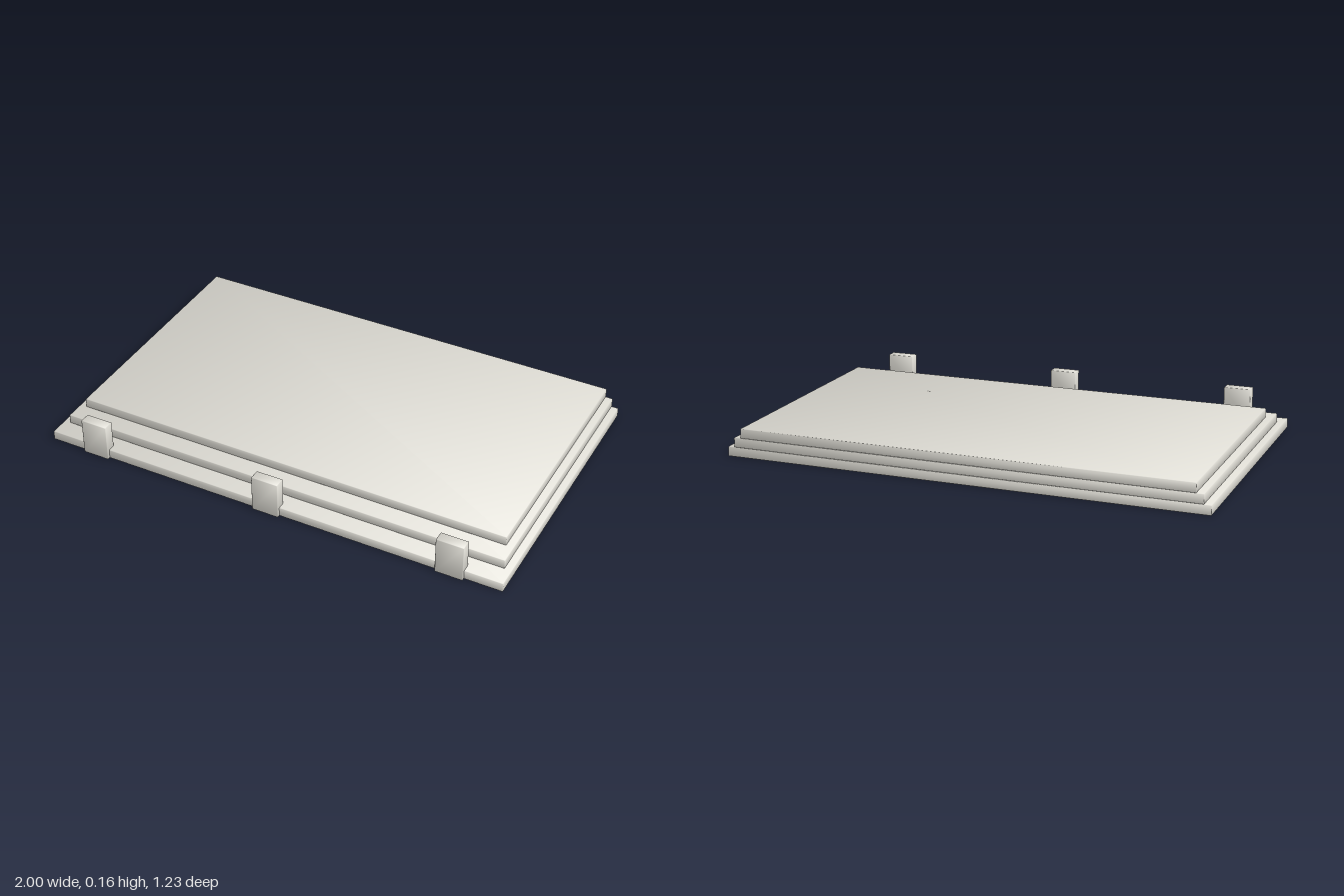
import * as THREE from 'three';
import { ConvexGeometry } from 'three/addons/geometries/ConvexGeometry.js';

// Box with fine chamfered edges and softly shaded faces
function chamferedBox(width, height, depth, bevel = 0.002) {
  const half = [width / 2, height / 2, depth / 2];
  const points = [];
  for (const sx of [-1, 1]) for (const sy of [-1, 1]) for (const sz of [-1, 1])
    for (let face = 0; face < 3; face++) {
      const c = [sx, sy, sz].map((s, i) => s * (half[i] - (i === face ? 0 : bevel)));
      points.push(new THREE.Vector3(...c));
    }
  const geometry = new ConvexGeometry(points);
  // Each corner normal leans from its face towards the neighbouring chamfers
  const { position, normal } = geometry.attributes;
  const p = new THREE.Vector3(), n = new THREE.Vector3();
  for (let i = 0; i < position.count; i++) {
    p.fromBufferAttribute(position, i);
    const lean = p.toArray().map((v, a) =>
      Math.sign(v) * (half[a] - Math.abs(v) < bevel / 2 ? 1 : 0.39));
    n.fromArray(lean).normalize();
    normal.setXYZ(i, n.x, n.y, n.z);
  }
  return geometry;
}

export function createModel() {
  const model = new THREE.Group();
  model.name = 'steppedPlatform';
  const stone = new THREE.MeshStandardMaterial({ color: 0xdfddd5 });
  stone.name = 'pale warm grey';

  // Box given by its centre x, width, and y and z ranges
  function addBox(name, x, width, y0, y1, z0, z1) {
    const mesh = new THREE.Mesh(chamferedBox(width, y1 - y0, z1 - z0), stone);
    mesh.position.set(x, (y0 + y1) / 2, (z0 + z1) / 2);
    mesh.name = name;
    model.add(mesh);
  }

  // Three stacked slabs, flush at the back and stepped in at the front and sides
  const back = -0.615, step = 0.04;
  const slabs = [
    ['bottomSlab', 2, 0.602],
    ['middleSlab', 1.942, 0.523],
    ['topSlab', 1.882, 0.443],
  ];
  slabs.forEach(([name, width, front], i) =>
    addBox(name, 0, width, i * step, (i + 1) * step, back, front));

  // Short posts along the front edge
  const posts = [['rightPost', -0.785], ['middlePost', 0], ['leftPost', 0.785]];
  for (const [name, x] of posts) addBox(name, x, 0.115, 0, 0.158, 0.568, 0.615);

  return model;
}
